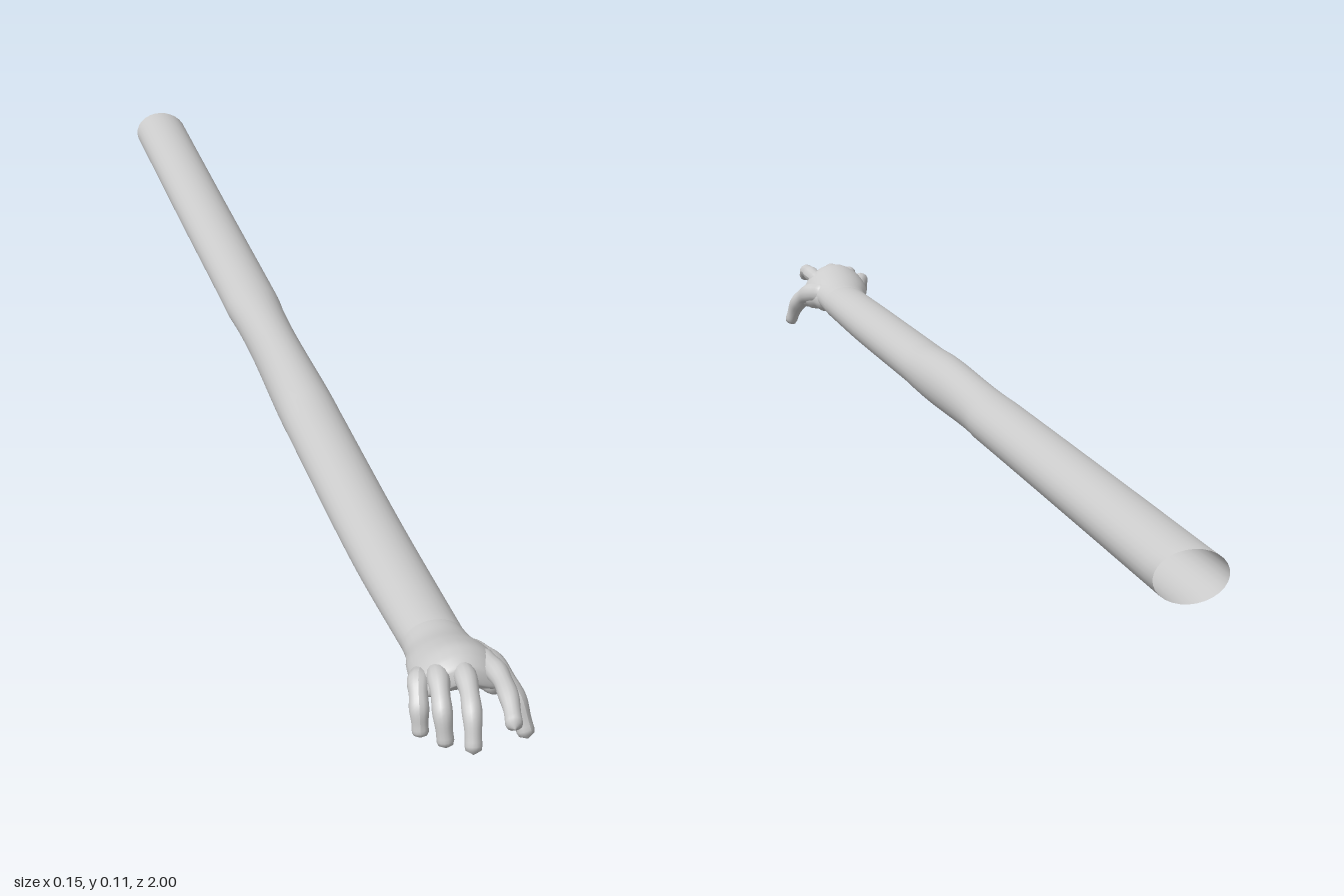
import * as THREE from 'three';

const material = new THREE.MeshStandardMaterial({ color: 0xcccccc, side: THREE.DoubleSide });

// Smooth skin through oval sections [x, y, z, halfWidth, halfHeight, arch]
function loft(sections, steps, sides, slant = 0) {
  const P = new THREE.CatmullRomCurve3(sections.map(s => new THREE.Vector3(s[0], s[1], s[2])));
  const R = new THREE.CatmullRomCurve3(sections.map(s => new THREE.Vector3(s[3], s[4], s[5])));
  const pos = [], idx = [];
  for (let i = 0; i <= steps; i++) {
    const c = P.getPoint(i / steps), r = R.getPoint(i / steps);
    for (let j = 0; j < sides; j++) {
      const a = (j / sides) * Math.PI * 2, cx = Math.cos(a), sy = Math.sin(a);
      const tilt = slant * (1 - i / steps) ** 12;
      pos.push(c.x + r.x * cx, c.y + r.y * sy - r.z * cx * cx, c.z + tilt * (cx * 0.4 - sy));
      if (i < steps) {
        const k = (j + 1) % sides, p = i * sides;
        idx.push(p + j, p + k, p + sides + j, p + k, p + sides + k, p + sides + j);
      }
    }
  }
  const g = new THREE.BufferGeometry();
  g.setAttribute('position', new THREE.Float32BufferAttribute(pos, 3));
  g.setIndex(idx);
  g.computeVertexNormals();
  return g;
}

// Tapered tube along a bent path, with rounded ends
function digit(points, r0, r1) {
  const curve = new THREE.CatmullRomCurve3(points.map(p => new THREE.Vector3(...p)));
  const n = 28, sides = 14, len = curve.getLength();
  const g = new THREE.TubeGeometry(curve, n, 1, sides, false);
  const pos = g.attributes.position, v = new THREE.Vector3();
  for (let i = 0; i <= n; i++) {
    const t = i / n, c = curve.getPointAt(t);
    const end = Math.min(1, ((1 - t) * len) / r1), start = Math.min(1, (t * len) / r0);
    const round = Math.sqrt(1 - (1 - end) ** 2) * Math.sqrt(1 - (1 - start) ** 2);
    const knuckle = 1 + 0.06 * Math.cos(t * Math.PI * 6);
    const r = Math.max(1e-4, THREE.MathUtils.lerp(r0, r1, t) * round * knuckle);
    for (let j = 0; j <= sides; j++) {
      const k = i * (sides + 1) + j;
      v.fromBufferAttribute(pos, k).sub(c).multiplyScalar(r).add(c);
      pos.setXYZ(k, v.x, v.y, v.z);
    }
  }
  g.computeVertexNormals();
  return g;
}

export function createModel() {
  const group = new THREE.Group();
  const add = (name, geometry) => {
    const mesh = new THREE.Mesh(geometry, material);
    mesh.name = name;
    group.add(mesh);
  };

  // Long sleeve-like arm, open at the back
  add('arm', loft([
    [-0.021, 0.058, -0.99, 0.042, 0.033, 0],
    [-0.020, 0.058, -0.6, 0.041, 0.033, 0],
    [-0.018, 0.058, -0.2, 0.040, 0.033, 0],
    [-0.017, 0.056, 0.2, 0.040, 0.033, 0],
    [-0.015, 0.054, 0.55, 0.040, 0.032, 0],
    [-0.010, 0.057, 0.78, 0.038, 0.029, 0],
  ], 60, 28, 0.009));

  // Wrist and arched palm, closing at the knuckles
  add('palm', loft([
    [-0.010, 0.057, 0.78, 0.038, 0.029, 0],
    [-0.010, 0.062, 0.81, 0.041, 0.028, 0.001],
    [-0.010, 0.074, 0.845, 0.050, 0.027, 0.008],
    [-0.010, 0.084, 0.875, 0.053, 0.025, 0.015],
    [-0.012, 0.087, 0.895, 0.051, 0.021, 0.018],
    [-0.013, 0.087, 0.91, 0.042, 0.014, 0.016],
    [-0.013, 0.086, 0.918, 0.0005, 0.0005, 0],
  ], 36, 28));

  // Curled fingers, from little finger to index
  const fingers = {
    littleFinger: [[-0.048, 0.070, 0.865], [-0.060, 0.078, 0.895], [-0.065, 0.062, 0.918], [-0.065, 0.028, 0.928]],
    ringFinger: [[-0.034, 0.080, 0.87], [-0.041, 0.088, 0.91], [-0.046, 0.070, 0.945], [-0.044, 0.030, 0.957]],
    middleFinger: [[-0.010, 0.087, 0.875], [-0.013, 0.092, 0.925], [-0.018, 0.075, 0.965], [-0.021, 0.036, 0.985]],
    indexFinger: [[0.020, 0.084, 0.865], [0.026, 0.090, 0.915], [0.025, 0.087, 0.96], [0.020, 0.072, 1.0]],
  };
  for (const [name, path] of Object.entries(fingers)) add(name, digit(path, 0.0135, 0.0095));

  // Thumb reaching down, and the fleshy pad at its root
  add('thumb', digit([[0.012, 0.068, 0.82], [0.036, 0.063, 0.86], [0.052, 0.042, 0.895], [0.063, 0.002, 0.918]], 0.021, 0.0095));
  add('thumbPad', digit([[0.0, 0.058, 0.80], [0.018, 0.058, 0.835], [0.032, 0.056, 0.865], [0.042, 0.05, 0.885]], 0.022, 0.017));
  // Heel of the hand below the little finger
  add('palmHeel', digit([[-0.022, 0.056, 0.79], [-0.035, 0.060, 0.835], [-0.043, 0.066, 0.875], [-0.045, 0.070, 0.895]], 0.024, 0.016));

  return group;
}
